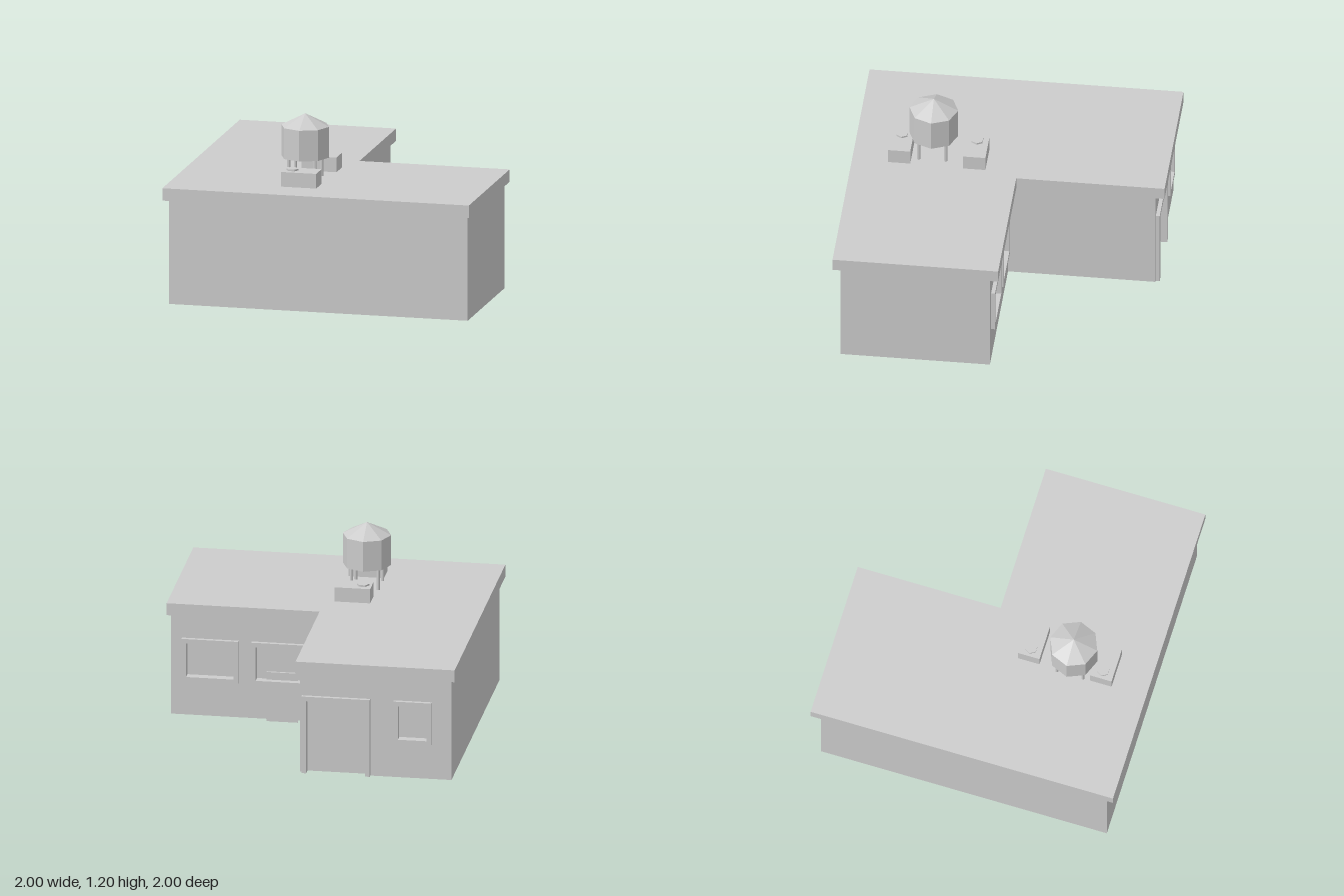
import * as THREE from 'three';

const gray = new THREE.MeshStandardMaterial({ color: 0xcccccc });
gray.name = 'plaster gray';
gray.flatShading = true;

const BASE = 0.02, EAVE = 0.70, ROOF = 0.78;
const RECESS = 0.03, TRIM = 0.03, PROUD = 0.025;

function add(parent, name, geometry, x = 0, y = 0, z = 0) {
  const mesh = new THREE.Mesh(geometry, gray);
  mesh.name = name;
  mesh.position.set(x, y, z);
  parent.add(mesh);
  return mesh;
}

const polygon = (points) => new THREE.Shape(points.map(([x, y]) => new THREE.Vector2(x, y)));
const extrude = (shape, depth) => new THREE.ExtrudeGeometry(shape, { depth, bevelEnabled: false });
const rect = (x0, x1, y0, y1) => [[x0, y0], [x1, y0], [x1, y1], [x0, y1]];

// L-shaped slab seen from above, extruded upwards
function slab(x0, x1, inner, back, notch, front, height) {
  const outline = [[x0, -front], [x1, -front], [x1, -notch], [inner, -notch], [inner, -back], [x0, -back]];
  return extrude(polygon(outline), height).rotateX(-Math.PI / 2);
}

// Back wall panel with openings; an opening that starts at the base is a doorway
function wallPanel(x0, x1, openings) {
  const outline = [[x0, BASE]];
  const holes = [];
  for (const o of openings) {
    const [a, b, top] = [o.x0 + TRIM, o.x1 - TRIM, o.y1 - TRIM];
    if (o.y0 === BASE) outline.push([a, BASE], [a, top], [b, top], [b, BASE]);
    else holes.push(polygon(rect(a, b, o.y0 + TRIM, top)));
  }
  outline.push([x1, BASE], [x1, EAVE], [x0, EAVE]);
  const shape = polygon(outline);
  shape.holes.push(...holes);
  return extrude(shape, RECESS);
}

// Raised trim: closed ring for windows, three-sided for the door
function trim({ x0, x1, y0, y1 }) {
  const [a, b, top] = [x0 + TRIM, x1 - TRIM, y1 - TRIM];
  if (y0 === BASE) {
    return extrude(polygon([[x0, y0], [a, y0], [a, top], [b, top], [b, y0], [x1, y0], [x1, y1], [x0, y1]]), PROUD);
  }
  const shape = polygon(rect(x0, x1, y0, y1));
  shape.holes.push(polygon(rect(a, b, y0 + TRIM, top)));
  return extrude(shape, PROUD);
}

function buildWall(parent, name, x0, x1, z, openings) {
  add(parent, name, wallPanel(x0, x1, openings), 0, 0, z);
  for (const o of openings) {
    add(parent, o.y0 === BASE ? 'doorFrame' : 'windowFrame', trim(o), 0, 0, z - PROUD);
  }
}

export function createModel() {
  const model = new THREE.Group();
  model.name = 'building';

  // Main body; its back faces also form the recessed panes and door
  add(model, 'walls', slab(-0.97, 0.98, 0, -0.94 + RECESS, RECESS, 0.95, EAVE - BASE), 0, BASE, 0);
  add(model, 'roof', slab(-1, 1, 0.02, -1, -0.055, 1, ROOF - EAVE), 0, EAVE, 0);

  // Back-facing walls with their openings
  const sill = 0.25, head = 0.535;
  buildWall(model, 'courtyardWall', 0, 0.98, 0, [
    { x0: 0.10, x1: 0.465, y0: sill, y1: head },
    { x0: 0.545, x1: 0.91, y0: sill, y1: head },
  ]);
  buildWall(model, 'wingBackWall', -0.97, 0, -0.94, [
    { x0: -0.845, x1: -0.60, y0: sill, y1: head },
    { x0: -0.45, x1: -0.012, y0: BASE, y1: head },
  ]);

  // Upright panel behind the courtyard window, reaching below the floor
  add(model, 'innerPanel', new THREE.BoxGeometry(0.20, 0.33, 0.015), 0.27, 0.165, 0.02);

  // Water tank on four legs
  const tank = new THREE.Group();
  tank.name = 'waterTank';
  tank.position.set(-0.195, 0, 0.495);
  model.add(tank);
  add(tank, 'tankBody', new THREE.CylinderGeometry(0.155, 0.155, 0.20, 8), 0, 1.02, 0);
  add(tank, 'tankLid', new THREE.ConeGeometry(0.155, 0.08, 8, 1, true), 0, 1.16, 0);
  for (const sx of [-1, 1]) for (const sz of [-1, 1]) {
    add(tank, 'tankLeg', new THREE.CylinderGeometry(0.01, 0.01, 0.14, 8), sx * 0.086, 0.85, sz * 0.086);
  }

  // Rooftop cooling units with hexagonal fan caps
  for (const [x, z] of [[-0.157, 0.22], [-0.168, 0.70]]) {
    const unit = new THREE.Group();
    unit.name = 'coolingUnit';
    unit.position.set(x, ROOF, z);
    model.add(unit);
    add(unit, 'unitBox', new THREE.BoxGeometry(0.228, 0.095, 0.142), 0, 0.0475, 0);
    add(unit, 'fanCap', new THREE.CylinderGeometry(0.04, 0.04, 0.012, 6), -0.058, 0.1, 0).rotation.y = Math.PI / 2;
  }

  return model;
}
